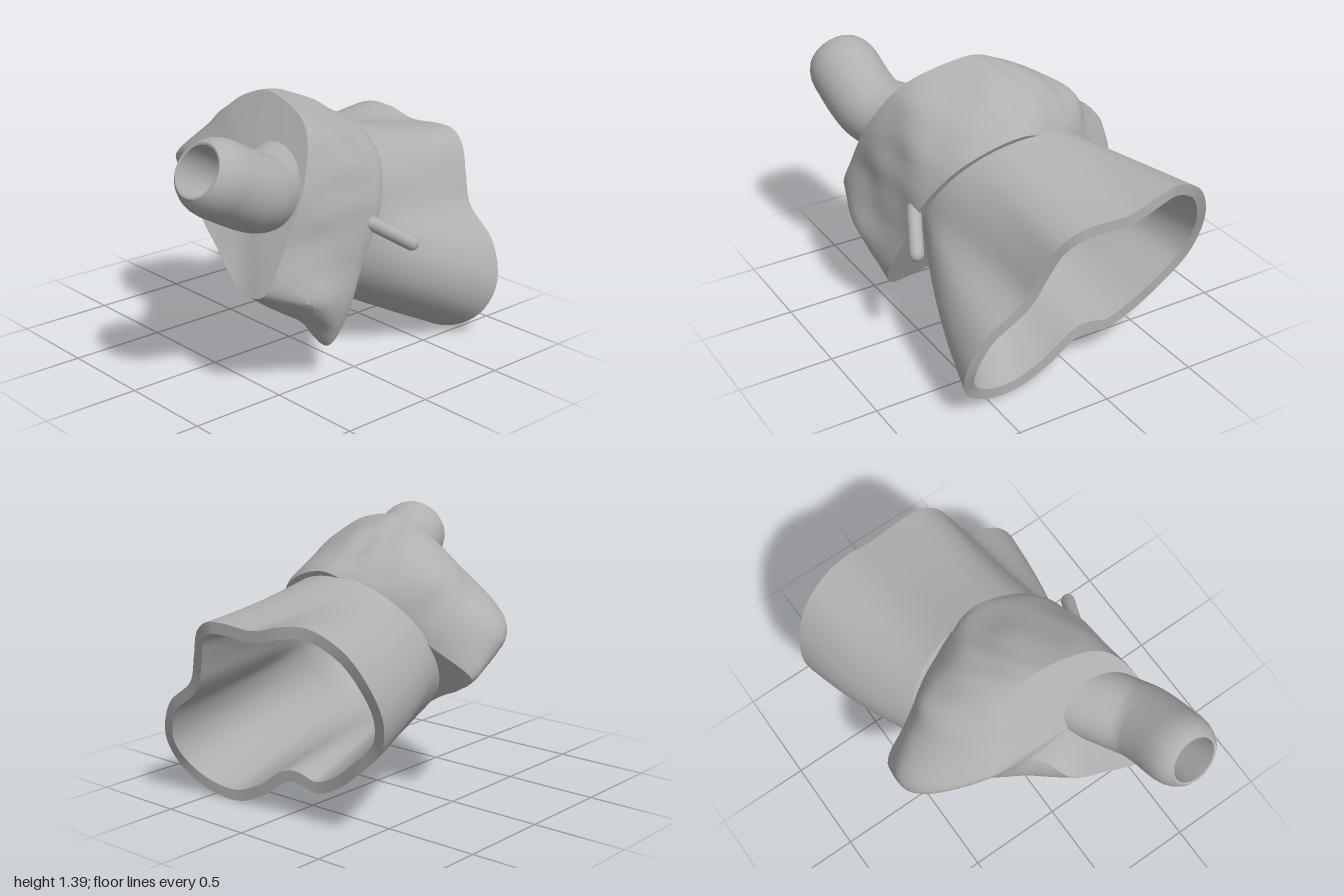
import * as THREE from 'three';
import { toCreasedNormals } from 'three/addons/utils/BufferGeometryUtils.js';

const SEG = 96;
const V = (x, y, z) => new THREE.Vector3(x, y, z);

// Point in the tilted frame of the block: d along its axis, u up its face, z sideways
const tilted = (d, z, u) => V(0.872 * d + 0.49 * u, -0.49 * d + 0.872 * u, z);

// Closed smooth outline through a few points
const outline = (pts) => {
  const c = new THREE.CatmullRomCurve3(pts.map(([x, y, z = 0]) => V(x, y, z)), true);
  return Array.from({ length: SEG }, (_, i) => c.getPoint(i / SEG));
};

// Skin through rings of SEG points each
function loft(rings, crease = 0.6) {
  const pos = [], index = [];
  for (const r of rings) for (const p of r) pos.push(p.x, p.y, p.z);
  for (let j = 0; j < rings.length - 1; j++) {
    for (let i = 0; i < SEG; i++) {
      const a = j * SEG + i, b = j * SEG + ((i + 1) % SEG), c = a + SEG, d = b + SEG;
      index.push(a, c, b, b, c, d);
    }
  }
  const g = new THREE.BufferGeometry();
  g.setAttribute('position', new THREE.Float32BufferAttribute(pos, 3));
  g.setIndex(index);
  return toCreasedNormals(g, crease);
}

// Oval on the front of the block where the flare begins
const neckPoint = (a, d, rz, ru, cu) => tilted(d, 0.02 - rz * Math.sin(a), cu + ru * Math.cos(a));

export function createModel() {
  const group = new THREE.Group();
  const grey = new THREE.MeshStandardMaterial({ color: 0xb0b0b0 });
  grey.name = 'grey';
  const add = (name, geometry) => {
    const m = new THREE.Mesh(geometry, grey);
    m.name = name;
    group.add(m);
    return m;
  };

  // Block outlines given as z, u (and an offset along the axis): rear face, widest section, front face
  const rear = outline([
    [0.08, 1.11], [-0.02, 1.09], [-0.14, 1.0], [-0.23, 0.86], [-0.33, 0.7],
    [-0.23, 0.67], [-0.1, 0.63], [0.02, 0.45, -0.08], [0.2, 0.31, -0.05], [0.42, 0.16],
    [0.57, 0.18], [0.58, 0.45], [0.54, 0.75], [0.4, 1.0],
  ]);
  const middle = outline([
    [0.05, 1.17], [-0.15, 1.15], [-0.38, 1.05], [-0.52, 0.9], [-0.7, 0.66],
    [-0.56, 0.56], [-0.36, 0.47], [-0.12, 0.36], [0.2, 0.26], [0.5, 0.13],
    [0.64, 0.22], [0.58, 0.5], [0.54, 0.8], [0.4, 1.04],
  ]);
  const front = outline([
    [0.08, 1.18], [-0.12, 1.1], [-0.3, 0.96], [-0.46, 0.8], [-0.66, 0.62],
    [-0.55, 0.52], [-0.42, 0.45], [-0.1, 0.25], [0.22, 0.15], [0.54, 0.05],
    [0.59, 0.2], [0.56, 0.5], [0.53, 0.8], [0.38, 1.05],
  ]);
  const blockRings = [rear.map(() => tilted(-0.87, 0.2, 0.7)), rear.map((p) => tilted(-0.85 + p.z, p.x, p.y))];
  const steps = 16, mid = 0.6;
  for (let k = 1; k <= steps; k++) {
    const t = k / steps;
    const grow = Math.pow(Math.sin(Math.min(1, t / mid) * Math.PI / 2), 0.85);
    const taper = Math.pow(Math.max(0, (t - mid) / (1 - mid)), 1.6);
    blockRings.push(rear.map((p, i) => {
      const q = p.clone().lerp(middle[i], grow).lerp(front[i], taper);
      const a = (i / SEG) * Math.PI * 2;
      // shallow wrinkles that fade out at both faces
      const w = Math.sin(Math.PI * t) * (0.007 * Math.sin(11 * a + 5 * t) + 0.004 * Math.sin(19 * a - 7 * t));
      const away = V(q.x - 0.05, q.y - 0.65, 0).normalize();
      q.addScaledVector(away, w - (k === steps ? 0.01 : 0));
      return tilted(-0.85 + 0.57 * t + q.z, q.x, q.y);
    }));
  }
  blockRings.push(front.map((p) => neckPoint(Math.atan2(0.02 - p.x, p.y - 0.65), -0.28, 0.46, 0.43, 0.7)));
  add('block', loft(blockRings));

  // Flare: oval neck opening into a lobed mouth, mouth points given as x, y, z
  const mouth = outline([
    [1.0, 1.01, 0.1], [0.99, 1.0, -0.1], [0.98, 1.04, -0.25], [0.95, 1.05, -0.4], [0.9, 0.96, -0.57],
    [0.84, 0.8, -0.67], [0.78, 0.63, -0.7], [0.74, 0.47, -0.65], [0.72, 0.33, -0.5], [0.7, 0.22, -0.35],
    [0.69, 0.16, -0.2], [0.7, 0.19, -0.05], [0.7, 0.07, 0.15], [0.7, 0, 0.33], [0.73, 0.03, 0.52],
    [0.78, 0.14, 0.66], [0.84, 0.3, 0.7], [0.88, 0.5, 0.62], [0.905, 0.65, 0.43], [0.94, 0.8, 0.36],
    [0.98, 0.94, 0.29], [1.0, 1.0, 0.2],
  ]);
  const angles = mouth.map((p) => Math.atan2(0.02 - p.z, p.y - 0.55));
  const lip = mouth.map((p, i) => {
    const e = mouth[(i + 1) % SEG].clone().sub(mouth[(i + SEG - 1) % SEG]);
    const inward = V(0, e.z, -e.y).normalize();
    return p.clone().addScaledVector(inward, 0.057);
  });
  const neckOuter = angles.map((a) => neckPoint(a, -0.3, 0.47, 0.44, 0.7));
  const neckInner = angles.map((a) => neckPoint(a, -0.27, 0.35, 0.33, 0.66));
  // wall rings, swelling a little between neck and mouth
  const wall = (from, to, t) => from.map((p, i) => {
    const swell = Math.sin(Math.PI * t);
    return V(p.x + (to[i].x - p.x) * t, p.y + (to[i].y - p.y) * t - 0.014 * swell,
      p.z + (to[i].z - p.z) * (t + 0.12 * swell));
  });
  const flareRings = [];
  for (let k = 0; k <= 12; k++) flareRings.push(wall(neckOuter, mouth, k / 12));
  for (let k = 12; k >= 0; k--) flareRings.push(wall(neckInner, lip, k / 12));
  // closed cavity behind the neck: depth and radius of each ring
  for (const [d, r] of [[-0.33, 0.345], [-0.45, 0.35], [-0.56, 0.32], [-0.61, 0.25], [-0.63, 0.12], [-0.635, 0]]) {
    flareRings.push(angles.map((a) => neckPoint(a, d, r, r, 0.66)));
  }
  add('flare', loft(flareRings));

  // Bent pipe on the rear face
  const bend = new THREE.CatmullRomCurve3([
    V(-0.29, 1.005, 0.255), V(-0.4, 1.005, 0.32), V(-0.52, 1.008, 0.39), V(-0.6, 1.035, 0.425),
    V(-0.69, 1.08, 0.44), V(-0.8, 1.14, 0.447),
  ]);
  add('pipe', new THREE.TubeGeometry(bend, 36, 0.188, 40));

  // Rounded pipe end with a bored hole
  const profile = [
    [0.188, -0.01], [0.188, 0.03], [0.182, 0.075], [0.17, 0.11], [0.152, 0.14], [0.132, 0.158],
    [0.122, 0.155], [0.12, 0.1], [0.12, -0.15], [0, -0.15],
  ].map((p) => new THREE.Vector2(...p));
  const tip = add('pipeEnd', toCreasedNormals(new THREE.LatheGeometry(profile, 40), 0.7));
  tip.position.set(-0.8, 1.14, 0.447);
  tip.quaternion.setFromUnitVectors(V(0, 1, 0), V(-0.87, 0.48, 0.07).normalize());

  // Small rounded peg at the front
  const a = V(0.062, 0.765, 0.535), b = V(0.258, 0.637, 0.63);
  const peg = add('peg', new THREE.CapsuleGeometry(0.037, a.distanceTo(b), 8, 20));
  peg.position.copy(a).lerp(b, 0.5);
  peg.quaternion.setFromUnitVectors(V(0, 1, 0), b.clone().sub(a).normalize());

  return group;
}
